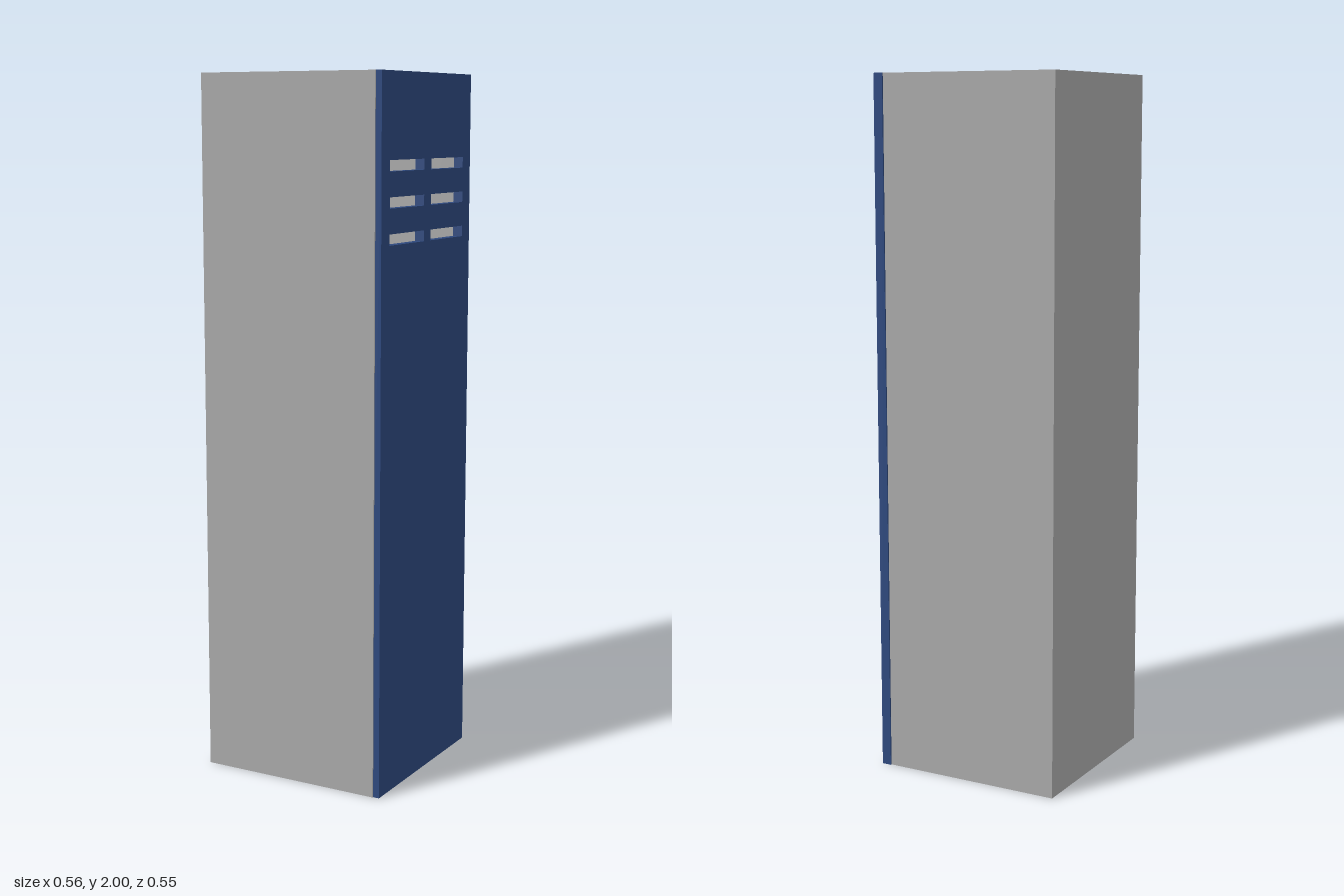
import * as THREE from 'three';

const steel = new THREE.MeshStandardMaterial({ color: 0xa8a8a8 });
steel.name = 'grey steel';
const paint = new THREE.MeshStandardMaterial({ color: 0x2d487d });
paint.name = 'blue door paint';

// Adds a rectangle outline to a Shape or Path
function rect(path, x0, y0, x1, y1) {
  path.moveTo(x0, y0);
  path.lineTo(x1, y0);
  path.lineTo(x1, y1);
  path.lineTo(x0, y1);
  path.closePath();
  return path;
}

// Extrudes a (-z, y) outline along +x, from x0 to x1
function extrudeX(name, shape, x0, x1, material) {
  const geometry = new THREE.ExtrudeGeometry(shape, { depth: x1 - x0, bevelEnabled: false });
  geometry.rotateY(Math.PI / 2).translate(x0, 0, 0);
  const mesh = new THREE.Mesh(geometry, material);
  mesh.name = name;
  return mesh;
}

export function createModel() {
  const model = new THREE.Group();
  model.name = 'locker';
  const wall = 0.015;

  // Hollow cabinet: side walls, roof and floor as one frame, open towards +x
  const frame = rect(new THREE.Shape(), -0.273, 0, 0.272, 2);
  frame.holes.push(rect(new THREE.Path(), -0.273 + wall, wall, 0.272 - wall, 2 - wall));
  model.add(extrudeX('cabinetWalls', frame, -0.281 + wall, 0.263, steel));

  // Closed rear panel
  const back = rect(new THREE.Shape(), -0.273, 0, 0.272, 2);
  model.add(extrudeX('backPanel', back, -0.281, -0.281 + wall, steel));

  // Door, with two columns of three vent slots
  const door = rect(new THREE.Shape(), -0.27, 0, 0.276, 2);
  for (const y of [1.556, 1.654, 1.752]) {
    for (const side of [-1, 1]) {
      const mid = 0.003 + side * 0.123;
      door.holes.push(rect(new THREE.Path(), mid - 0.102, y - 0.015, mid + 0.102, y + 0.015));
    }
  }
  model.add(extrudeX('door', door, 0.253, 0.281, paint));

  return model;
}
